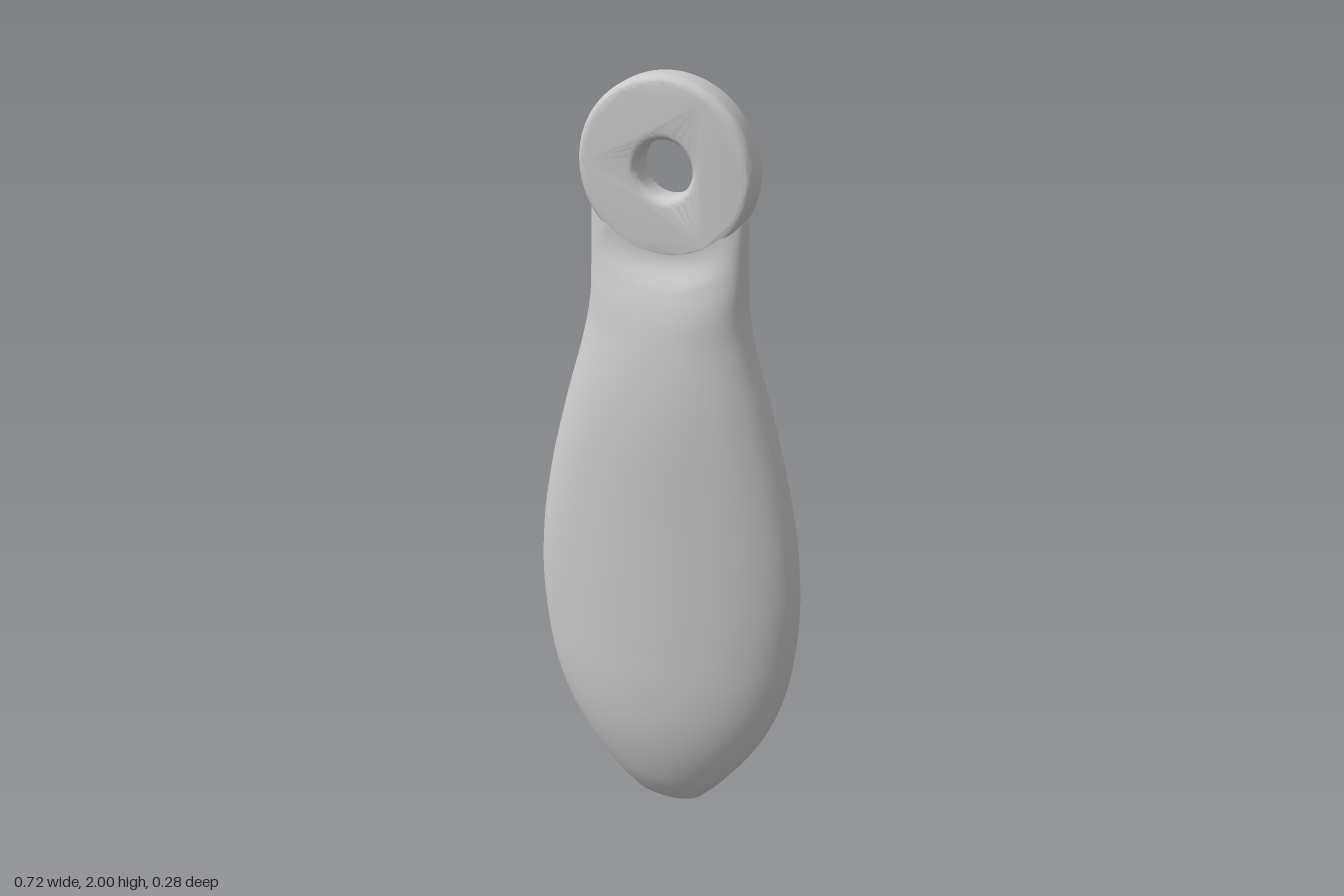
import * as THREE from 'three';
import { mergeVertices, toCreasedNormals } from 'three/addons/utils/BufferGeometryUtils.js';

const material = new THREE.MeshStandardMaterial({ color: 0xcccccc });
const HEAD_Y = 1.775, HEAD_R = 0.225, HEAD_HALF = 0.042, HOLE_R = 0.07;

// Body rows from tip to neck: half width, height, half depth
const PROFILE = [
  [0.05, 0.003, 0.012], [0.085, 0.018, 0.028], [0.12, 0.05, 0.05], [0.165, 0.1, 0.077],
  [0.24, 0.2, 0.111], [0.294, 0.3, 0.13], [0.33, 0.41, 0.138], [0.349, 0.52, 0.139],
  [0.358, 0.65, 0.139], [0.35, 0.8, 0.139], [0.335, 0.9, 0.139], [0.315, 1.0, 0.139],
  [0.29, 1.1, 0.138], [0.263, 1.2, 0.133], [0.234, 1.3, 0.122], [0.211, 1.4, 0.104],
  [0.203, 1.45, 0.09], [0.201, 1.5, 0.072], [0.2, 1.55, 0.058], [0.2, 1.6, 0.049],
  [0.2, 1.65, 0.043], [0.197, 1.68, 0.041],
].map((p) => new THREE.Vector3(...p));

// Elliptical sections that square off in the neck and flatten around the head disc
function bodyGeometry(sides = 64, rows = 110) {
  const pos = [], index = [];
  const spow = (v, e) => Math.sign(v) * Math.abs(v) ** e;
  const sections = new THREE.CatmullRomCurve3(PROFILE).getPoints(rows);
  for (const { x: w, y, z: d } of sections) {
    const e = 2 / (2 + 1.6 * THREE.MathUtils.smoothstep(y, 1.35, 1.62));
    for (let i = 0; i < sides; i++) {
      const a = (i / sides) * Math.PI * 2;
      const x = w * spow(Math.cos(a), e), z = d * spow(Math.sin(a), e);
      const flat = THREE.MathUtils.clamp(z, -0.0413, 0.0413);
      const away = THREE.MathUtils.smoothstep(Math.hypot(x, y - HEAD_Y), 0.205, 0.29);
      pos.push(x, y, THREE.MathUtils.lerp(flat, z, away));
    }
  }
  const bottom = pos.length / 3, top = bottom + 1;
  pos.push(0, 0, 0, 0, 1.68, 0);
  for (let i = 0; i < sides; i++) {
    const n = (i + 1) % sides;
    for (let j = 0; j < rows; j++) {
      const a = j * sides, b = a + sides;
      index.push(a + i, b + i, a + n, b + i, b + n, a + n);
    }
    index.push(bottom, i, n, top, rows * sides + n, rows * sides + i);
  }
  const g = new THREE.BufferGeometry();
  g.setAttribute('position', new THREE.Float32BufferAttribute(pos, 3));
  g.setIndex(index);
  g.computeVertexNormals();
  return g;
}

// Flat disc with rounded rims and a through hole
function headGeometry() {
  const bevel = 0.022;
  const shape = new THREE.Shape().absarc(0, 0, HEAD_R, 0, Math.PI * 2);
  shape.holes.push(new THREE.Path().absarc(0, 0, HOLE_R, 0, Math.PI * 2, true));
  const depth = 2 * (HEAD_HALF - bevel);
  let g = new THREE.ExtrudeGeometry(shape, {
    depth, curveSegments: 48, bevelEnabled: true, bevelSegments: 5,
    bevelSize: bevel, bevelThickness: bevel, bevelOffset: -bevel,
  });
  g.translate(0, 0, -depth / 2);
  g.deleteAttribute('uv');
  g.deleteAttribute('normal');
  g = mergeVertices(g, 1e-4);
  return toCreasedNormals(g, 0.7);
}

export function createModel() {
  const model = new THREE.Group();
  model.name = 'pendant';

  const body = new THREE.Mesh(bodyGeometry(), material);
  body.name = 'body';

  const head = new THREE.Mesh(headGeometry(), material);
  head.name = 'hangingEye';
  head.position.y = HEAD_Y;

  model.add(body, head);
  return model;
}
